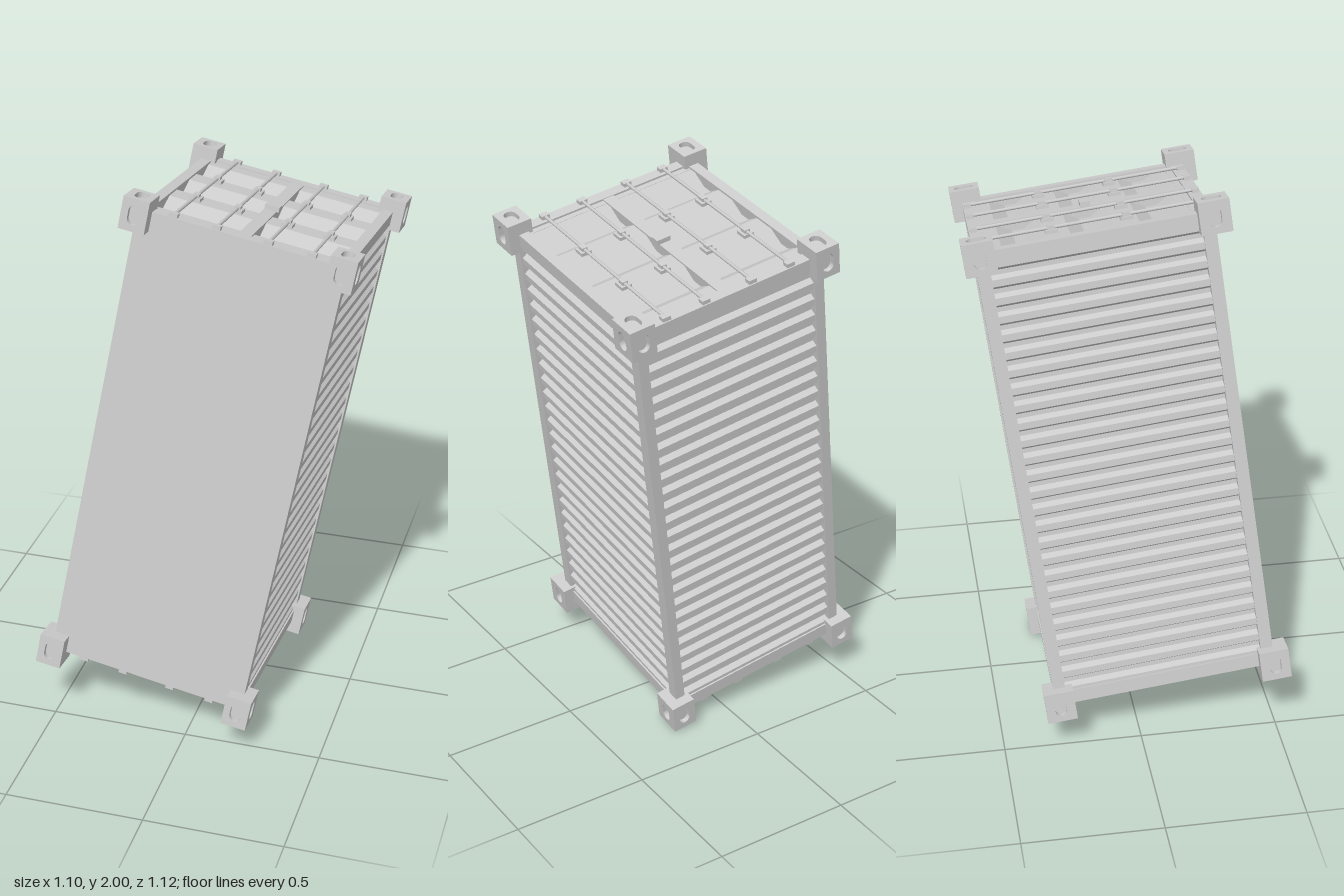
import * as THREE from 'three';

const mat = new THREE.MeshStandardMaterial({ color: 0xcccccc });
const X = new THREE.Vector3(1, 0, 0), Y = new THREE.Vector3(0, 1, 0), Z = new THREE.Vector3(0, 0, 1);

// Body half sizes: width, length (upright), height (depth); outer half sizes of the corner fittings
const A = 0.363, B = 0.852, C = 0.402;
const OUT = [0.402, 0.897, 0.446];
const FIT = [0.092, 0.113, 0.107];

function add(parent, name, geometry, x = 0, y = 0, z = 0) {
  const m = new THREE.Mesh(geometry, mat);
  m.name = name;
  m.position.set(x, y, z);
  parent.add(m);
  return m;
}
const box = (parent, name, w, h, d, x, y, z) => add(parent, name, new THREE.BoxGeometry(w, h, d), x, y, z);

// Trapezoid-corrugated sheet: waves run along 'along', outer face points to 'out'
function corrugated(parent, name, { span, n, depth, flat, slope, width, along, out, pos }) {
  const pitch = span / n, s = new THREE.Shape(), back = -depth - 0.012;
  const valley = pitch - flat - 2 * slope;
  s.moveTo(-span / 2, back);
  s.lineTo(-span / 2, 0);
  for (let i = 0; i < n; i++) {
    let p = -span / 2 + i * pitch + flat / 2;
    s.lineTo(p, 0);
    s.lineTo(p += slope, -depth);
    s.lineTo(p += valley, -depth);
    s.lineTo(p += slope, 0);
  }
  s.lineTo(span / 2, 0);
  s.lineTo(span / 2, back);
  const g = new THREE.ExtrudeGeometry(s, { depth: width, bevelEnabled: false });
  g.translate(0, 0, -width / 2);
  g.applyMatrix4(new THREE.Matrix4().makeBasis(along, out, along.clone().cross(out)));
  return add(parent, name, g, ...pos);
}

// Plate with a rounded slot, outer face at z = 0
function slottedPlate(w, h, t) {
  const s = new THREE.Shape();
  s.moveTo(-w / 2, -h / 2).lineTo(w / 2, -h / 2).lineTo(w / 2, h / 2).lineTo(-w / 2, h / 2);
  const r = 0.021, k = 0.013, hole = new THREE.Path();
  hole.absarc(0, k, r, 0, Math.PI, false);
  hole.absarc(0, -k, r, Math.PI, 2 * Math.PI, false);
  s.holes.push(hole);
  const g = new THREE.ExtrudeGeometry(s, { depth: t, bevelEnabled: false, curveSegments: 6 });
  return g.translate(0, 0, -t);
}

// Corner fitting with slots on its three outer faces
function cornerFitting(sx, sy, sz) {
  const g = new THREE.Group(), [w, h, d] = FIT, t = 0.018;
  g.name = 'cornerFitting';
  box(g, 'fittingCore', w - t, h - t, d - t, -sx * t / 2, -sy * t / 2, -sz * t / 2);
  const side = add(g, 'sideSlot', slottedPlate(d, h, t), sx * w / 2, 0, 0);
  side.rotation.y = sx * Math.PI / 2;
  const end = add(g, 'endSlot', slottedPlate(w, d, t), 0, sy * h / 2, 0);
  end.rotation.x = -sy * Math.PI / 2;
  const face = add(g, 'faceSlot', slottedPlate(w, h, t), 0, 0, sz * d / 2);
  if (sz < 0) face.rotation.y = Math.PI;
  g.position.set(sx * (OUT[0] - w / 2), sy * (OUT[1] - h / 2), sz * (OUT[2] - d / 2));
  return g;
}

// Door end: two corrugated leaves, four locking rods with brackets and a centre latch
function doorEnd() {
  const g = new THREE.Group();
  g.name = 'doorEnd';
  for (const s of [-1, 1]) {
    corrugated(g, 'doorLeaf', {
      span: 0.7, n: 3, depth: 0.032, flat: 0.085, slope: 0.054, width: 0.307,
      along: Z, out: Y, pos: [s * 0.174, B - 0.008, 0],
    });
    box(g, 'doorEdge', 0.307, 0.03, 0.03, s * 0.174, B - 0.022, -0.35);
    box(g, 'doorEdge', 0.307, 0.03, 0.03, s * 0.174, B - 0.022, 0.35);
    for (const u of [0.09, 0.24]) {
      const rod = add(g, 'lockingRod', new THREE.CylinderGeometry(0.006, 0.006, 0.79, 8), s * u, B + 0.008, 0);
      rod.rotation.x = Math.PI / 2;
      for (const v of [-0.385, 0.385]) box(g, 'rodKeeper', 0.03, 0.016, 0.024, s * u, B + 0.006, v);
      for (const v of [-0.132, 0.124]) {
        box(g, 'rodGuidePlate', 0.038, 0.014, 0.044, s * u, B - 0.003, v);
        box(g, 'rodGuide', 0.02, 0.018, 0.026, s * u, B + 0.007, v);
      }
    }
  }
  box(g, 'centreStrip', 0.044, 0.045, 0.73, 0, B - 0.0245, 0);
  box(g, 'centreLatch', 0.052, 0.018, 0.036, 0.004, B + 0.006, 0.01);
  return g;
}

export function createModel() {
  const model = new THREE.Group();
  model.name = 'shippingContainer';
  const container = new THREE.Group();
  container.name = 'tiltedContainer';
  const body = new THREE.Group();
  body.name = 'body';
  body.position.z = -0.006;
  container.add(body);
  model.add(container);

  // Frame
  const P = 0.037, Q = 0.044;
  for (const s of [-1, 1]) for (const t of [-1, 1]) {
    box(body, 'longRail', P, 2 * B, Q, s * (A - P / 2), 0, t * (C - Q / 2));
    box(body, 'endCrossRail', 2 * A, 0.05, Q, 0, s * (B - 0.025), t * (C - Q / 2));
    box(body, 'endPost', P, 0.05, 2 * C, s * (A - P / 2), t * (B - 0.025), 0);
  }

  // Smooth floor and corrugated walls and roof
  box(body, 'floor', 2 * A, 2 * B, 0.02, 0, 0, C - 0.01);
  const wave = { span: 2 * B - 0.1, n: 25, depth: 0.02, flat: 0.024, slope: 0.012, along: Y };
  for (const s of [-1, 1]) {
    corrugated(body, 'sideWall', {
      ...wave, width: 2 * C - 2 * Q, out: X.clone().multiplyScalar(s), pos: [s * (A - 0.006), 0, 0],
    });
  }
  corrugated(body, 'roof', {
    ...wave, width: 2 * A - 2 * P, out: Z.clone().negate(), pos: [0, 0, -C + 0.006],
  });

  // Doors at both ends
  const upper = doorEnd(), lower = doorEnd();
  lower.rotation.z = Math.PI;
  body.add(upper, lower);

  // Corner fittings
  for (const sx of [-1, 1]) for (const sy of [-1, 1]) for (const sz of [-1, 1]) {
    container.add(cornerFitting(sx, sy, sz));
  }

  // Lean of the whole container
  const up = new THREE.Vector3(0.171, 0.978, -0.121).normalize();
  const right = new THREE.Vector3(0.985, -0.169, 0.025);
  right.addScaledVector(up, -right.dot(up)).normalize();
  container.setRotationFromMatrix(new THREE.Matrix4().makeBasis(right, up, right.clone().cross(up)));
  container.position.y = 1;
  return model;
}
